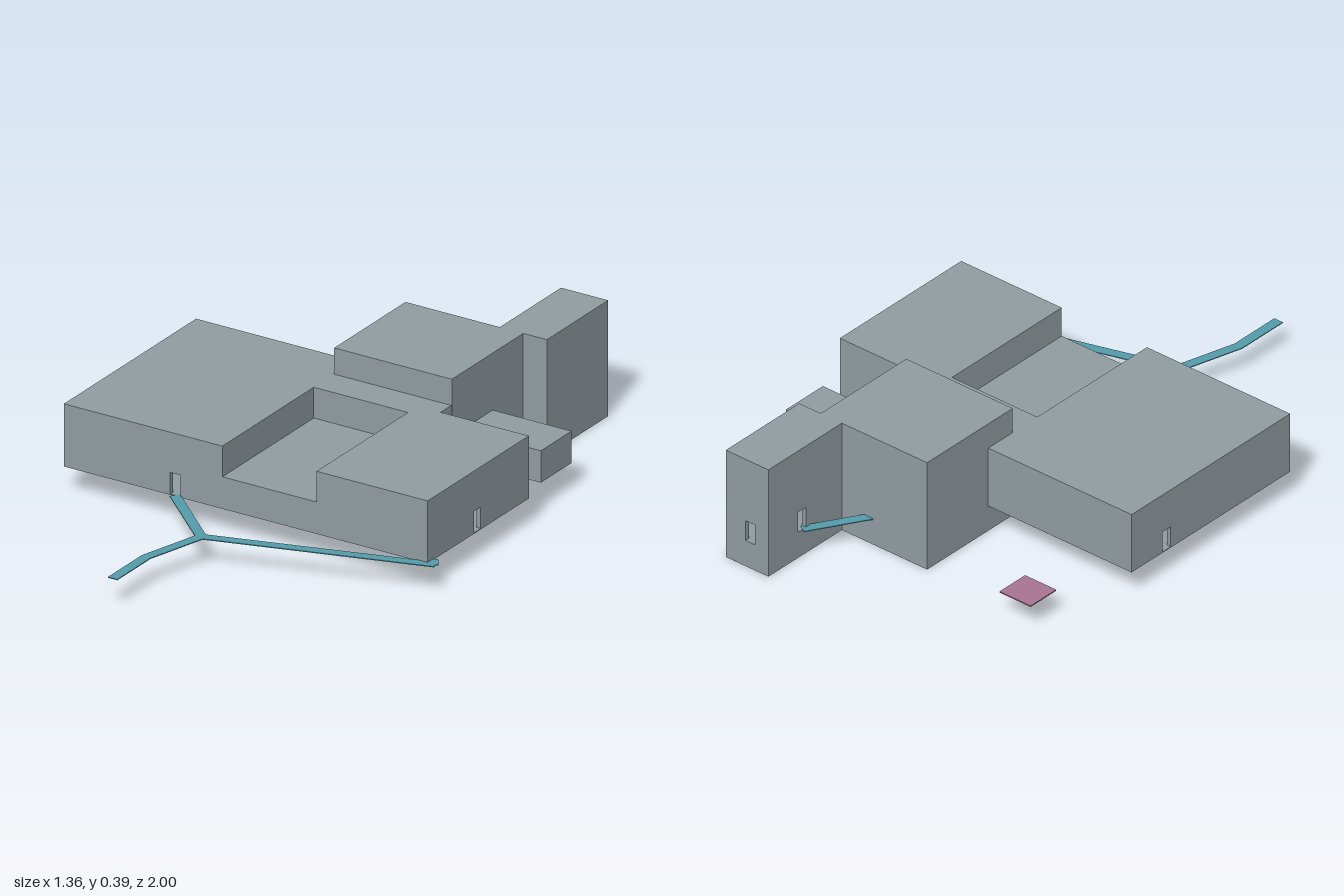
import * as THREE from 'three';

const GROUND = 0.09;      // level of the floors and paths
const WALL = 0.016;       // wall thickness
const SLAB = 0.003;       // floor and path thickness

export function createModel() {
  const stone = new THREE.MeshStandardMaterial({ color: 0x929da2 });
  stone.name = 'stone grey';
  const teal = new THREE.MeshStandardMaterial({ color: 0x549dac });
  teal.name = 'path teal';
  const mauve = new THREE.MeshStandardMaterial({ color: 0xa87593 });
  mauve.name = 'pad mauve';

  const model = new THREE.Group();
  model.name = 'buildingComplex';

  function box(parent, name, mat, [x0, x1], [y0, y1], [z0, z1]) {
    const m = new THREE.Mesh(new THREE.BoxGeometry(x1 - x0, y1 - y0, z1 - z0), mat);
    m.position.set((x0 + x1) / 2, (y0 + y1) / 2, (z0 + z1) / 2);
    m.name = name;
    parent.add(m);
    return m;
  }

  // Hollow block: four walls with optional doorways, a roof and floors.
  // doors maps a side to the doorway's x (front, back) or z (left, right).
  function room(name, xs, ys, zs, doors = {}) {
    const g = new THREE.Group();
    g.name = name;
    model.add(g);
    const cx = (xs[0] + xs[1]) / 2, cz = (zs[0] + zs[1]) / 2;
    const w = xs[1] - xs[0], d = zs[1] - zs[0];
    const sides = [
      ['front', 0, w, d, (p) => p - cx],
      ['left', Math.PI / 2, d, w, (p) => cz - p],
      ['back', Math.PI, w, d, (p) => cx - p],
      ['right', -Math.PI / 2, d, w, (p) => p - cz],
    ];
    for (const [side, turn, len, across, toLocal] of sides) {
      const h = len / 2;
      const shape = new THREE.Shape([
        new THREE.Vector2(-h, ys[0]), new THREE.Vector2(h, ys[0]),
        new THREE.Vector2(h, ys[1]), new THREE.Vector2(-h, ys[1]),
      ]);
      if (doors[side] !== undefined) {
        const u = toLocal(doors[side]), b = GROUND + SLAB, t = GROUND + 0.075;
        shape.holes.push(new THREE.Path([
          new THREE.Vector2(u - 0.019, b), new THREE.Vector2(u - 0.019, t),
          new THREE.Vector2(u + 0.019, t), new THREE.Vector2(u + 0.019, b),
        ]));
      }
      const geo = new THREE.ExtrudeGeometry(shape, { depth: WALL, bevelEnabled: false });
      geo.translate(0, 0, across / 2 - WALL);
      const wall = new THREE.Mesh(geo, stone);
      wall.name = side + 'Wall';
      wall.position.set(cx, 0, cz);
      wall.rotation.y = turn;
      g.add(wall);
    }
    box(g, 'roof', stone, xs, [ys[1] - WALL, ys[1]], zs);
    box(g, 'base', stone, xs, [ys[0], ys[0] + SLAB], zs);
    if (ys[0] < GROUND) box(g, 'floor', stone, xs, [GROUND, GROUND + SLAB], zs);
  }

  // Main building: two wings around a lower terrace
  room('rightWing', [-0.68, -0.105], [0.09, 0.3], [-0.365, 0.38], { front: -0.275, right: -0.2 });
  room('leftWing', [0.237, 0.64], [0.09, 0.3], [-0.19, 0.38], { left: 0.1 });
  room('terrace', [-0.105, 0.237], [0.09, 0.197], [-0.135, 0.38]);
  room('rearHall', [-0.105, 0.237], [0.09, 0.3], [-0.25, -0.135]);
  room('rearCorner', [0.237, 0.32], [0.09, 0.3], [-0.25, -0.19]);

  // Taller blocks behind, and the low annex
  room('tallHall', [-0.105, 0.322], [0, 0.388], [-0.652, -0.25]);
  room('tower', [0.237, 0.408], [0, 0.388], [-0.997, -0.652], { back: 0.31, right: -0.84 });
  room('annex', [0.322, 0.608], [0.09, 0.197], [-0.48, -0.307], { back: 0.4 });

  // Flat ribbon with mitred corners through [x, z] points
  function path(name, pts, width = 0.034) {
    const p = pts.map(([x, z]) => new THREE.Vector2(x, -z));
    const left = [], right = [];
    p.forEach((c, i) => {
      const a = c.clone().sub(p[Math.max(i - 1, 0)]).normalize();
      const b = p[Math.min(i + 1, p.length - 1)].clone().sub(c).normalize();
      const t = a.clone().add(b).normalize();
      const n = new THREE.Vector2(-t.y, t.x);
      const k = width / 2 / Math.max(0.5, t.dot(i ? a : b));
      left.push(c.clone().addScaledVector(n, k));
      right.unshift(c.clone().addScaledVector(n, -k));
    });
    const geo = new THREE.ExtrudeGeometry(new THREE.Shape([...right, ...left]), { depth: SLAB, bevelEnabled: false });
    geo.rotateX(-Math.PI / 2);
    const m = new THREE.Mesh(geo, teal);
    m.name = name;
    m.position.y = GROUND + 0.001;
    model.add(m);
  }
  path('entrancePath', [[-0.105, 0.998], [-0.105, 0.81], [-0.045, 0.592], [-0.28, 0.375]].slice(0, 3));
  path('frontDoorPath', [[-0.04, 0.597], [-0.275, 0.382]]);
  path('sidePath', [[-0.05, 0.594], [0.668, 0.379]]);
  path('sideDoorPath', [[0.662, 0.385], [0.64, 0.352]]);
  path('towerPath', [[0.24, -0.835], [0.125, -0.645]]);
  path('annexDoorstep', [[0.375, -0.472], [0.405, -0.476]]);

  // Detached square pad
  box(model, 'pad', mauve, [-0.57, -0.445], [GROUND - 0.002, GROUND + 0.002], [-0.71, -0.59]);

  return model;
}
